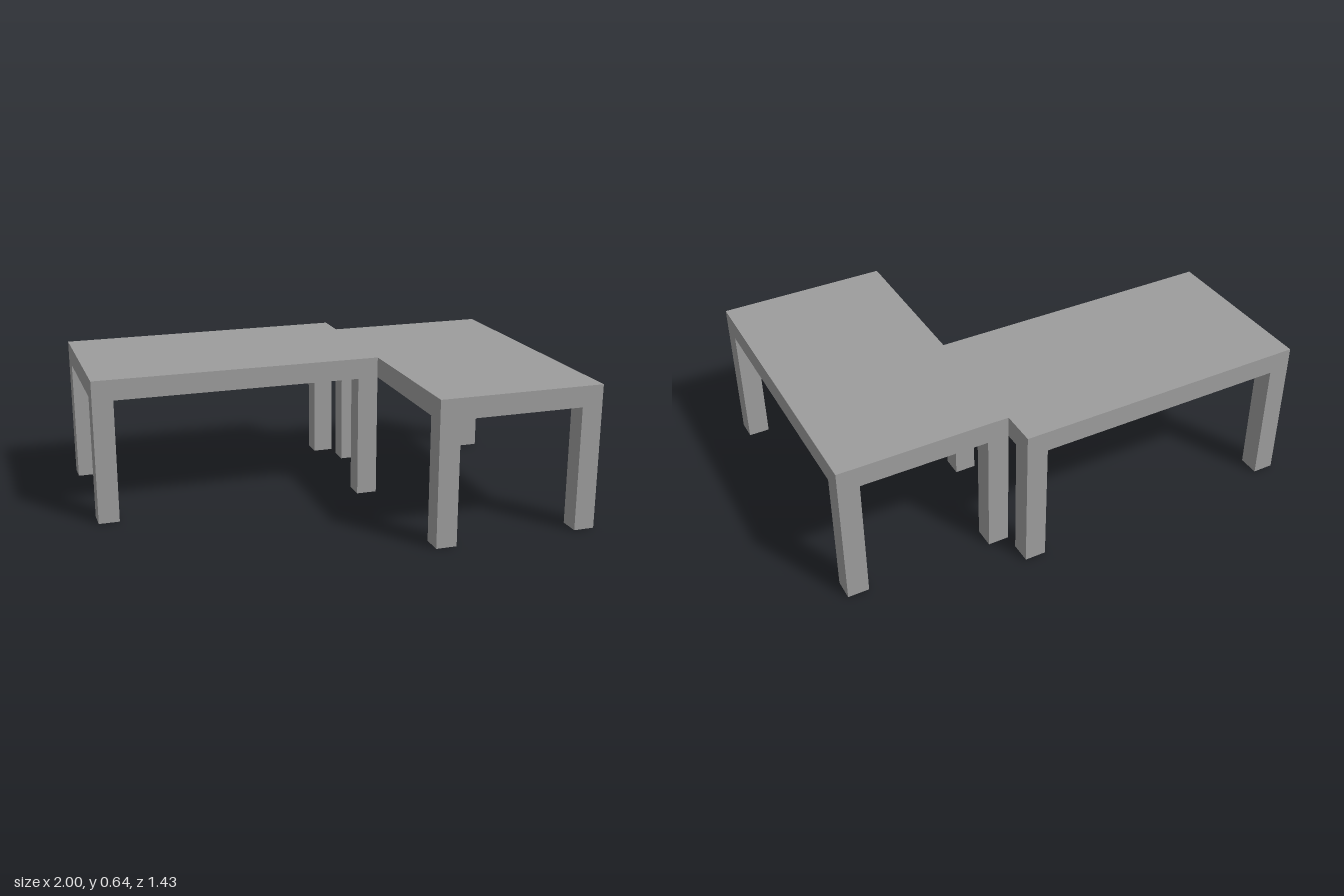
import * as THREE from 'three';

const U = 1 / 11;            // leg width and top thickness
const HEIGHT = 7 * U;
const SEAM = 3 * U;          // x where the two table halves meet

// Footprints of the two joined tables
const tables = [
  { name: 'sideTable', x0: -1, x1: SEAM, z0: -0.713, z1: 0.014 },
  { name: 'mainTable', x0: SEAM, x1: 1, z0: -0.56, z1: 0.713 },
];

export function createModel() {
  const group = new THREE.Group();
  const material = new THREE.MeshStandardMaterial({ color: 0x9d9d9d, flatShading: true });
  const [a, b] = tables;

  // Tabletop: one slab following the joined outline, drawn as (x, -z)
  const outline = [
    [a.x0, a.z1], [SEAM, a.z1], [SEAM, b.z1], [b.x1, b.z1],
    [b.x1, b.z0], [SEAM, b.z0], [SEAM, a.z0], [a.x0, a.z0],
  ].map(([x, z]) => new THREE.Vector2(x, -z));
  const topGeometry = new THREE.ExtrudeGeometry(new THREE.Shape(outline), { depth: U, bevelEnabled: false });
  topGeometry.rotateX(-Math.PI / 2);
  const top = new THREE.Mesh(topGeometry, material);
  top.name = 'tabletop';
  top.position.y = HEIGHT - U;
  group.add(top);

  // Four square legs flush with the corners of each table
  const legHeight = HEIGHT - U;
  const legGeometry = new THREE.BoxGeometry(U, legHeight, U);
  for (const t of tables) {
    const legs = new THREE.Group();
    legs.name = t.name + 'Legs';
    for (const x of [t.x0 + U / 2, t.x1 - U / 2]) {
      for (const z of [t.z0 + U / 2, t.z1 - U / 2]) {
        const leg = new THREE.Mesh(legGeometry, material);
        leg.name = 'leg';
        leg.position.set(x, legHeight / 2, z);
        legs.add(leg);
      }
    }
    group.add(legs);
  }
  return group;
}
